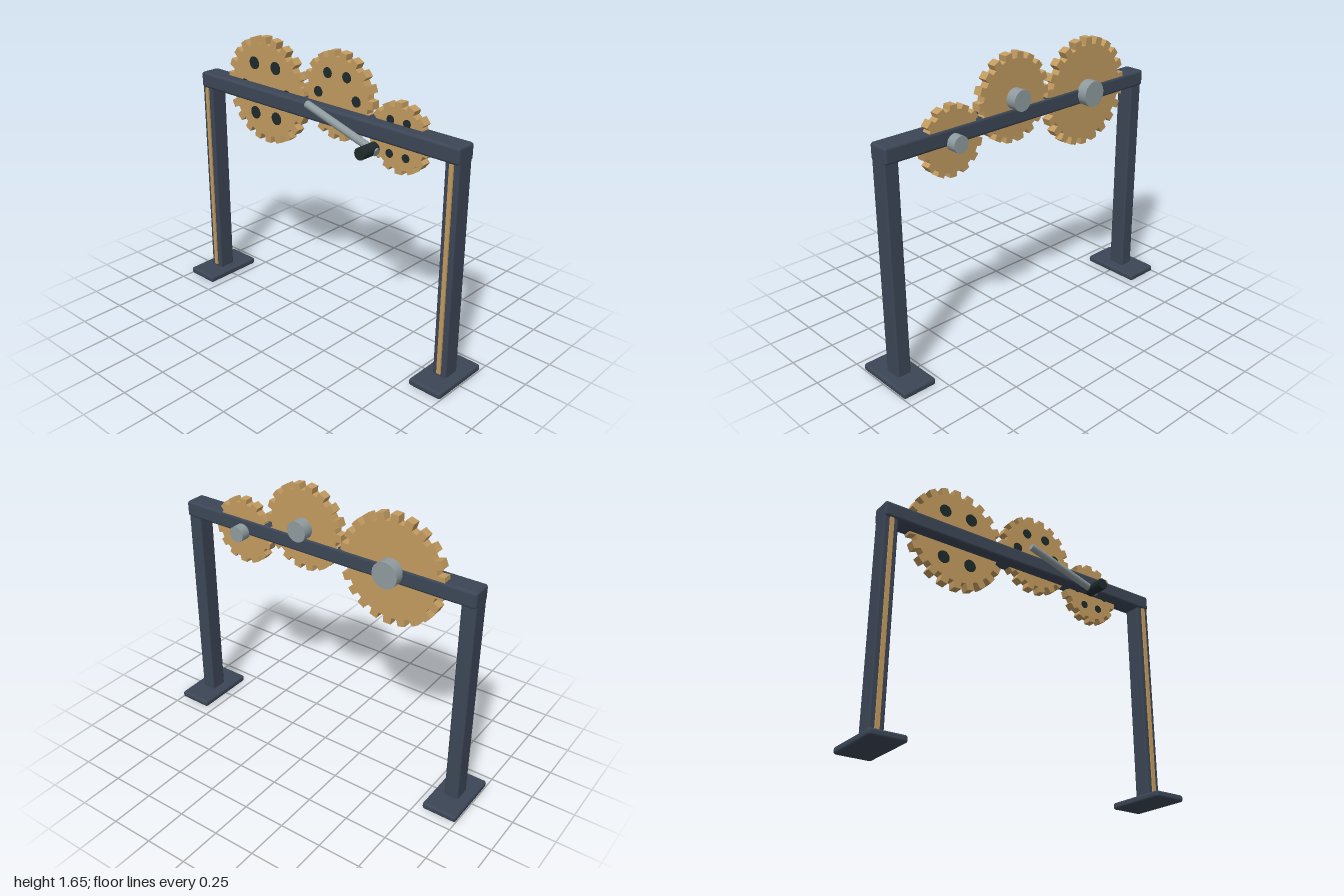
import * as THREE from 'three';
import { RoundedBoxGeometry } from 'three/addons/geometries/RoundedBoxGeometry.js';

const material = (name, color) => {
  const m = new THREE.MeshStandardMaterial({ color });
  m.name = name;
  return m;
};

export function createModel() {
  const frameGrey = material('frame slate', 0x3c4656);
  const brass = material('brass', 0xc29b60);
  const steel = material('steel', 0x8f9b9f);
  const black = material('grip black', 0x1f2a2c);
  const model = new THREE.Group();
  model.name = 'gearFrame';

  const add = (parent, name, geometry, mat, x, y, z) => {
    const mesh = new THREE.Mesh(geometry, mat);
    mesh.name = name;
    mesh.position.set(x, y, z);
    parent.add(mesh);
    return mesh;
  };
  const rounded = (w, h, d, r) => new RoundedBoxGeometry(w, h, d, 2, r);
  // Cylinder lying along z
  const rod = (r, length, sides) => new THREE.CylinderGeometry(r, r, length, sides).rotateX(Math.PI / 2);

  // Frame: beam, two posts with brass strips, two feet
  add(model, 'beam', rounded(1.88, 0.094, 0.126, 0.016), frameGrey, 0, 1.302, -0.007);
  for (const [side, s] of [['left', 1], ['right', -1]]) {
    add(model, side + 'Post', rounded(0.085, 1.26, 0.105, 0.01), frameGrey, s * 0.897, 0.65, -0.005);
    add(model, side + 'Foot', rounded(0.206, 0.04, 0.372, 0.014), frameGrey, s * 0.897, 0.02, -0.007);
    add(model, side + 'Strip', new THREE.BoxGeometry(0.024, 1.2, 0.009), brass, s * 0.897, 0.655, 0.052);
  }

  // Toothed disc with trapezoid teeth
  const gearGeometry = (R, teeth, phase, depth) => {
    const root = R * 0.87, pitch = (Math.PI * 2) / teeth;
    const points = [];
    for (let i = 0; i < teeth; i++) {
      for (const [offset, r] of [[-0.31, root], [-0.25, R], [0.25, R], [0.31, root]]) {
        const a = phase + (i + offset) * pitch;
        points.push(new THREE.Vector2(Math.cos(a) * r, Math.sin(a) * r));
      }
    }
    return new THREE.ExtrudeGeometry(new THREE.Shape(points), { depth, bevelEnabled: false });
  };

  // Gears, each with six dark discs in front and a hub behind
  const deg = Math.PI / 180;
  const gears = [
    ['largeGear', -0.452, 1.318, 0.313, 22, 92],
    ['middleGear', 0.1, 1.405, 0.247, 18, 0],
    ['smallGear', 0.52, 1.272, 0.194, 14, 92],
  ];
  for (const [name, x, y, R, teeth, phase] of gears) {
    const gear = new THREE.Group();
    gear.name = name;
    gear.position.set(x, y, 0);
    add(gear, 'toothedDisc', gearGeometry(R, teeth, phase * deg, 0.052), brass, 0, 0, -0.063);
    add(gear, 'hub', rod(R * 0.24, 0.064, 20), steel, 0, 0, -0.094);
    for (let i = 0; i < 6; i++) {
      const a = i * 60 * deg;
      add(gear, 'dark spot', rod(R * 0.12, 0.006, 16), black,
        Math.cos(a) * R * 0.55, Math.sin(a) * R * 0.55, -0.01);
    }
    model.add(gear);
  }

  // Crank: sloping arm and grip pointing forward
  const crank = new THREE.Group();
  crank.name = 'crank';
  const start = new THREE.Vector3(-0.018, 1.364, 0.098);
  const end = new THREE.Vector3(0.472, 1.216, 0.098);
  const direction = end.clone().sub(start);
  const middle = start.clone().add(end).multiplyScalar(0.5);
  const arm = add(crank, 'crankArm', new THREE.CylinderGeometry(0.022, 0.022, direction.length(), 12),
    steel, middle.x, middle.y, middle.z);
  arm.quaternion.setFromUnitVectors(new THREE.Vector3(0, 1, 0), direction.normalize());
  add(crank, 'crankGrip', rod(0.034, 0.12, 16), black, 0.438, 1.226, 0.135);
  model.add(crank);

  return model;
}
